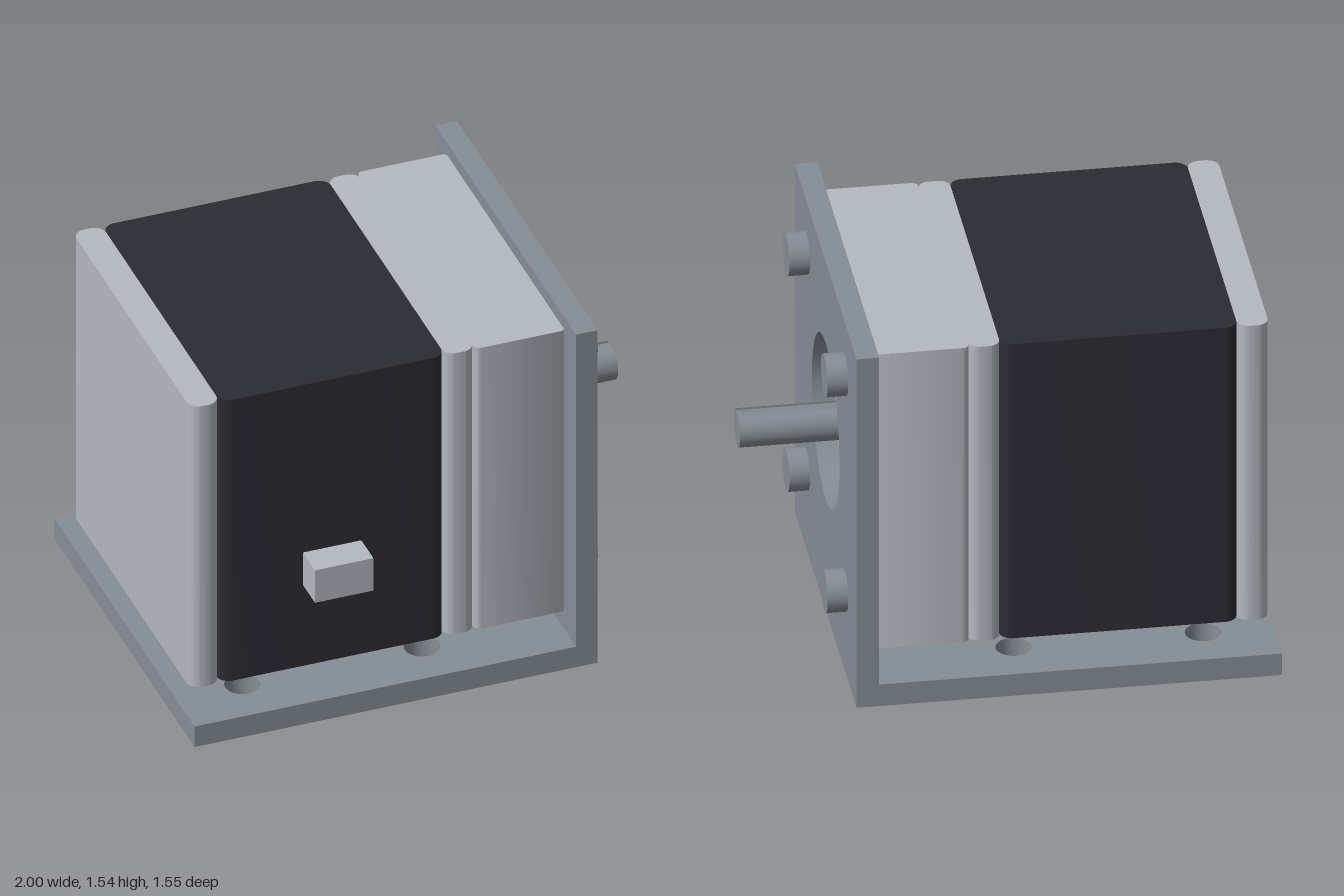
import * as THREE from 'three';
import { toCreasedNormals } from 'three/addons/utils/BufferGeometryUtils.js';

const CZ = -0.006; // depth centre of bracket and motor
const CY = 0.835; // height of the shaft axis

const material = (name, color) => {
  const m = new THREE.MeshStandardMaterial({ color });
  m.name = name;
  return m;
};

// Rectangle with rounded corners; r is [top right, top left, bottom left, bottom right]
function roundedRect(x0, x1, y0, y1, r) {
  const s = new THREE.Shape();
  const [a, b, c, d] = r;
  const h = Math.PI / 2;
  s.moveTo(x1, y1 - a);
  if (a) s.absarc(x1 - a, y1 - a, a, 0, h);
  s.lineTo(x0 + b, y1);
  if (b) s.absarc(x0 + b, y1 - b, b, h, 2 * h);
  s.lineTo(x0, y0 + c);
  if (c) s.absarc(x0 + c, y0 + c, c, 2 * h, 3 * h);
  s.lineTo(x1 - d, y0);
  if (d) s.absarc(x1 - d, y0 + d, d, 3 * h, 4 * h);
  s.closePath();
  return s;
}

function punch(shape, x, y, r) {
  const hole = new THREE.Path();
  hole.absarc(x, y, r, 0, Math.PI * 2, true);
  shape.holes.push(hole);
}

function extrude(shape, depth) {
  const g = new THREE.ExtrudeGeometry(shape, { depth, bevelEnabled: false, curveSegments: 20 });
  return g;
}

// Shape (x, -z) raised from y0 to y1
const extrudeUp = (shape, y0, y1) =>
  toCreasedNormals(extrude(shape, y1 - y0).rotateX(-Math.PI / 2).translate(0, y0, CZ), 0.6);

// Shape (-z, y) pushed from x0 to x1
const extrudeAlongX = (shape, x0, x1) =>
  toCreasedNormals(extrude(shape, x1 - x0).rotateY(Math.PI / 2).translate(x0, 0, CZ), 0.6);

export function createModel() {
  const steel = material('bracket steel', 0x868e96);
  const aluminium = material('light aluminium', 0xb4b8c0);
  const black = material('black casing', 0x2b2b33);

  const model = new THREE.Group();
  model.name = 'motorOnBracket';
  const add = (name, geometry, mat) => {
    const mesh = new THREE.Mesh(geometry, mat);
    mesh.name = name;
    model.add(mesh);
    return mesh;
  };

  // L bracket: base with four mounting holes, wall with a round opening
  const square = [0, 0, 0, 0];
  const base = roundedRect(-1, 0.567, -0.77, 0.77, square);
  for (const x of [-0.725, 0.012]) for (const z of [-0.56, 0.56]) punch(base, x, z, 0.07);
  add('bracketBase', extrudeUp(base, 0, 0.095), steel);

  const wall = roundedRect(-0.77, 0.77, 0, 1.54, square);
  punch(wall, 0, CY, 0.345);
  add('bracketWall', extrudeAlongX(wall, 0.567, 0.655), steel);

  // Motor body: slabs with rounded upright edges
  const slabs = [
    ['rearCap', -0.97, -0.848, [0.05, 0.05, 0.05, 0.05], aluminium],
    ['casing', -0.848, 0.075, [0.05, 0.05, 0.05, 0.05], black],
    ['middleRing', 0.075, 0.198, [0.045, 0.045, 0.045, 0.045], aluminium],
    ['frontBlock', 0.198, 0.566, [0.015, 0.025, 0.025, 0.015], aluminium],
  ];
  for (const [name, x0, x1, r, mat] of slabs) {
    add(name, extrudeUp(roundedRect(x0, x1, -0.65, 0.65, r), 0.185, 1.485), mat);
  }

  // Cable socket on the front side
  add('connector', new THREE.BoxGeometry(0.24, 0.15, 0.14), aluminium)
    .position.set(-0.39, 0.635, 0.706);

  // Shaft with a shallow keyway along its top
  const R = 0.076, half = 0.037;
  const a = Math.asin(half / R);
  const shaft = new THREE.Shape();
  shaft.absarc(0, CY, R, Math.PI / 2 + a, Math.PI * 2.5 - a);
  shaft.lineTo(half, CY + 0.058);
  shaft.lineTo(-half, CY + 0.058);
  shaft.closePath();
  add('shaft', extrudeAlongX(shaft, 0.56, 1), steel);

  // Four bolt heads on the wall
  const bolt = new THREE.CylinderGeometry(0.085, 0.085, 0.09, 40).rotateZ(-Math.PI / 2);
  for (const sy of [-1, 1]) for (const sz of [-1, 1]) {
    add('boltHead', bolt, steel).position.set(0.69, CY + sy * 0.477, CZ + sz * 0.477);
  }

  return model;
}
